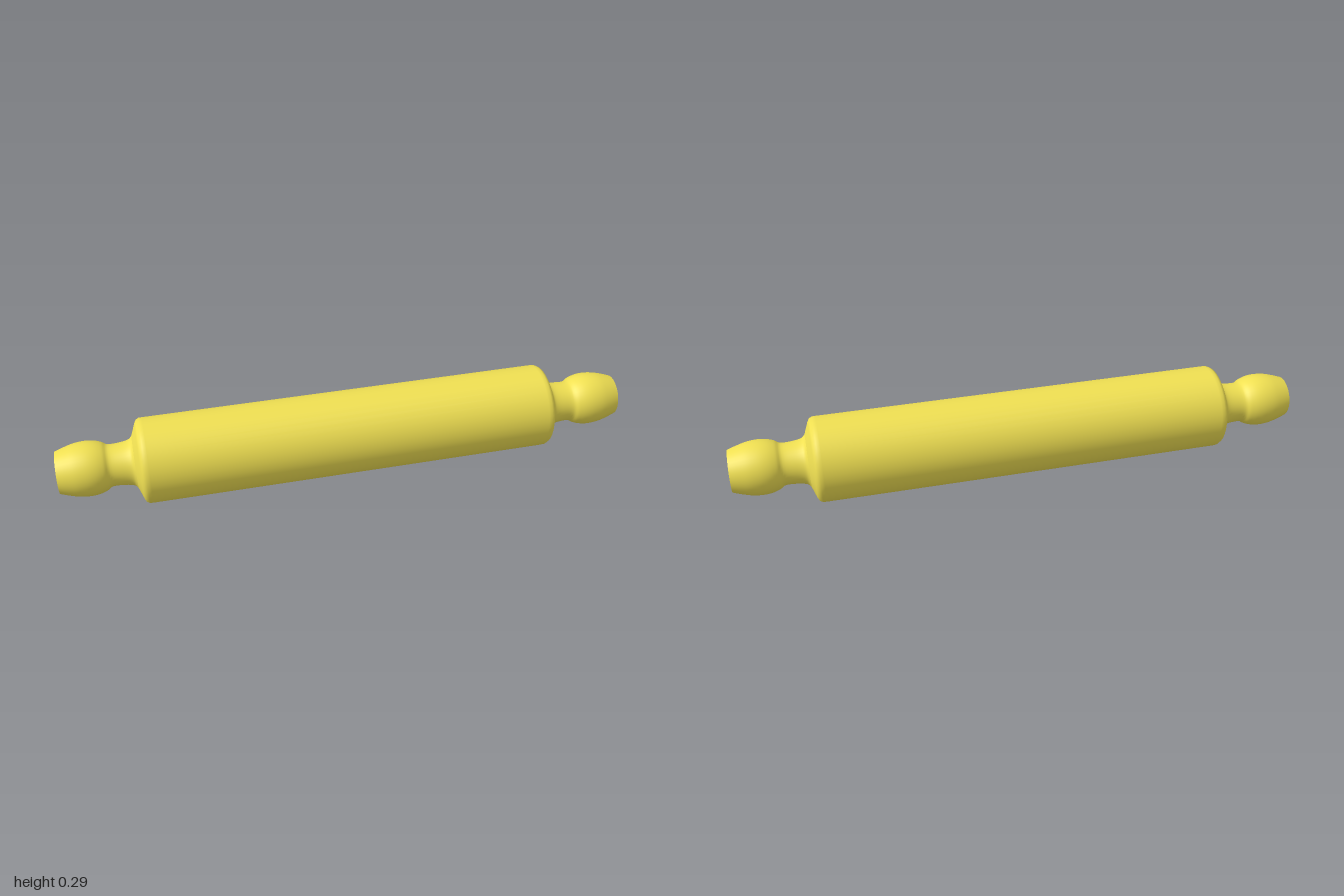
import * as THREE from 'three';

const SEGMENTS = 40;
const AXIS_HEIGHT = 0.147;

// Revolve [x, radius] pairs, listed with rising x, around the x axis
function turned(name, profile, material) {
  const points = profile.map(([x, r]) => new THREE.Vector2(r, x));
  const geometry = new THREE.LatheGeometry(points, SEGMENTS);
  geometry.rotateZ(-Math.PI / 2);
  const mesh = new THREE.Mesh(geometry, material);
  mesh.name = name;
  return mesh;
}

export function createModel() {
  const model = new THREE.Group();
  model.name = 'rollingPin';
  const wood = new THREE.MeshStandardMaterial({ color: 0xf0e052 });

  // Roller with softened rims and sloped shoulders
  const shoulder = [[0.70, 0.147], [0.712, 0.1465], [0.722, 0.141], [0.728, 0.13], [0.743, 0.09]];
  const mirrored = shoulder.map(([x, r]) => [-x, r]).reverse();
  const roller = turned('roller', [...mirrored, ...shoulder], wood);
  model.add(roller);

  // Handle outline: flared root, waist, swollen grip, tapered end
  const outline = new THREE.SplineCurve([
    [0.743, 0.09], [0.755, 0.079], [0.785, 0.073], [0.825, 0.072], [0.845, 0.083],
    [0.87, 0.091], [0.90, 0.094], [0.935, 0.091], [0.97, 0.082], [1, 0.072],
  ].map(([x, r]) => new THREE.Vector2(x, r)));
  const handleProfile = outline.getPoints(36).map((p) => [p.x, p.y]);

  for (const [side, turn] of [['left', 0], ['right', Math.PI]]) {
    const handle = new THREE.Group();
    handle.name = side + 'Handle';
    handle.add(turned('grip', handleProfile, wood));

    // Flat end face
    const cap = new THREE.Mesh(new THREE.CircleGeometry(0.072, SEGMENTS), wood);
    cap.name = 'endCap';
    cap.rotation.y = Math.PI / 2;
    cap.position.x = 1;
    handle.add(cap);

    handle.rotation.y = turn;
    model.add(handle);
  }

  for (const part of model.children) part.position.y = AXIS_HEIGHT;
  return model;
}
